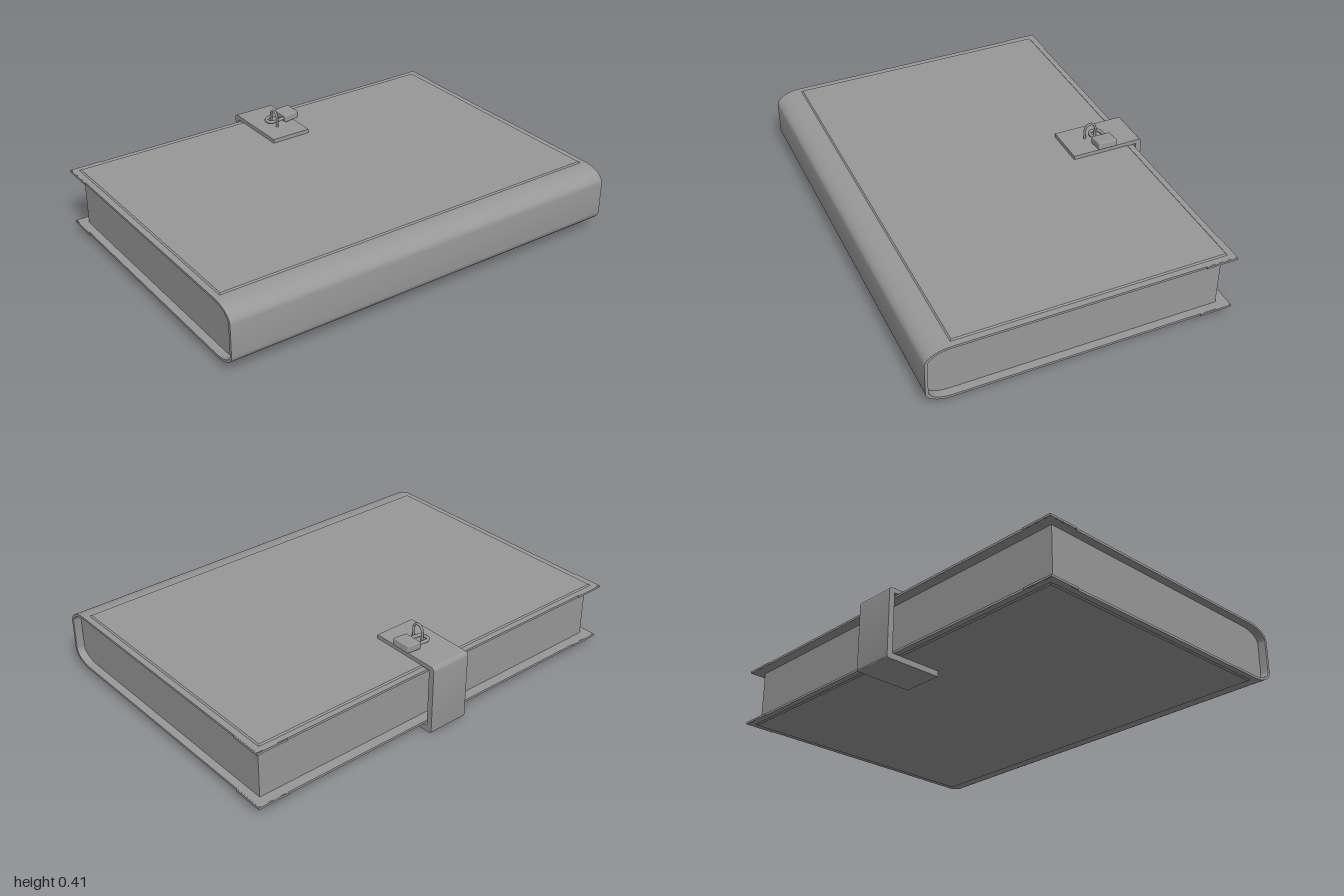
import * as THREE from 'three';
import { RoundedBoxGeometry } from 'three/addons/geometries/RoundedBoxGeometry.js';
import { toCreasedNormals } from 'three/addons/utils/BufferGeometryUtils.js';

const material = new THREE.MeshStandardMaterial({ color: 0x989898 });
const v = (x, y, z) => new THREE.Vector3(x, y, z);

function add(parent, name, geometry, x = 0, y = 0, z = 0) {
  const mesh = new THREE.Mesh(geometry, material);
  mesh.name = name;
  mesh.position.set(x, y, z);
  parent.add(mesh);
  return mesh;
}

// Extrude an xy outline along z, centred on z = 0
function slab(shape, depth) {
  const g = new THREE.ExtrudeGeometry(shape, { depth, bevelEnabled: false, curveSegments: 12 });
  g.translate(0, 0, -depth / 2);
  return toCreasedNormals(g, 0.6);
}

// Open outline with a rounded spine on the +x side, running from bottom to top
function spineOutline(left, right, bottom, top, rx, ry) {
  const pts = [new THREE.Vector2(left, bottom)];
  const n = 10;
  for (const [cy, start] of [[bottom + ry, -Math.PI / 2], [top - ry, 0]]) {
    for (let i = 0; i <= n; i++) {
      const a = start + (i / n) * Math.PI / 2;
      pts.push(new THREE.Vector2(right - rx + rx * Math.cos(a), cy + ry * Math.sin(a)));
    }
  }
  pts.push(new THREE.Vector2(left, top));
  return pts;
}

// Flat rectangle in xz with sloped edges, rising from y = 0 to y = height
function raisedPanel(width, length, height, slope) {
  const w = width / 2 - slope, l = length / 2 - slope;
  const shape = new THREE.Shape([
    new THREE.Vector2(-w, -l), new THREE.Vector2(w, -l),
    new THREE.Vector2(w, l), new THREE.Vector2(-w, l),
  ]);
  const g = new THREE.ExtrudeGeometry(shape, {
    depth: 0.001, bevelThickness: height, bevelSize: slope, bevelSegments: 1,
  });
  g.rotateX(-Math.PI / 2);
  return g;
}

// Round wire bent into a U: two legs from y = 0 and a bow reaching to y = height
function wireLoop(halfWidth, leg, height, radius) {
  const bow = leg + (height - leg) * 4 / 3;
  const path = new THREE.CurvePath();
  path.add(new THREE.LineCurve3(v(-halfWidth, 0, 0), v(-halfWidth, leg, 0)));
  path.add(new THREE.CubicBezierCurve3(
    v(-halfWidth, leg, 0), v(-halfWidth, bow, 0), v(halfWidth, bow, 0), v(halfWidth, leg, 0)));
  path.add(new THREE.LineCurve3(v(halfWidth, leg, 0), v(halfWidth, 0, 0)));
  return new THREE.TubeGeometry(path, 30, radius, 8);
}

export function createModel() {
  const book = new THREE.Group();
  book.name = 'book';

  // Cover: one wrapped sheet with a rounded spine
  const outer = spineOutline(-0.683, 0.723, 0.033, 0.309, 0.115, 0.064);
  const inner = spineOutline(-0.683, 0.71, 0.044, 0.298, 0.105, 0.054);
  add(book, 'cover', slab(new THREE.Shape([...outer, ...inner.reverse()]), 1.986));

  // Page block
  const pages = spineOutline(-0.635, 0.71, 0.044, 0.298, 0.105, 0.054);
  add(book, 'pages', slab(new THREE.Shape(pages), 1.91));

  // Raised panels and corner guards on both boards
  for (const side of [1, -1]) {
    const panel = add(book, 'coverPanel', raisedPanel(1.258, 1.93, 0.006, 0.006), -0.027, 0.171 + side * 0.137, 0);
    if (side < 0) panel.rotation.x = Math.PI;
    const y = 0.171 + side * 0.1325;
    for (const end of [1, -1]) {
      add(book, 'cornerGuardEnd', new THREE.BoxGeometry(0.15, 0.01, 0.01), -0.612, y, end * 0.993);
      add(book, 'cornerGuardEdge', new THREE.BoxGeometry(0.01, 0.01, 0.15), -0.682, y, end * 0.923);
    }
  }

  // Clasp strap folded around the fore edge
  const strap = new THREE.Shape();
  strap.moveTo(-0.442, 0);
  strap.lineTo(-0.442, 0.028);
  strap.lineTo(-0.697, 0.028);
  strap.lineTo(-0.697, 0.313);
  strap.lineTo(-0.373, 0.313);
  strap.lineTo(-0.373, 0.334);
  strap.lineTo(-0.705, 0.334);
  strap.quadraticCurveTo(-0.725, 0.334, -0.725, 0.314);
  strap.lineTo(-0.725, 0.015);
  strap.quadraticCurveTo(-0.725, 0, -0.71, 0);
  add(book, 'claspStrap', slab(strap, 0.2), 0, 0, -0.008);

  // Staple standing on the strap
  add(book, 'staple', wireLoop(0.027, 0.045, 0.077, 0.006), -0.509, 0.33, 0.002);

  // Padlock hanging through the staple, slightly tilted
  const padlock = new THREE.Group();
  padlock.name = 'padlock';
  padlock.position.set(-0.537, 0.36, -0.088);
  padlock.rotation.x = 0.1;
  book.add(padlock);
  add(padlock, 'lockBody', new RoundedBoxGeometry(0.094, 0.036, 0.078, 3, 0.006));
  const shackle = add(padlock, 'shackle', wireLoop(0.028, 0.055, 0.083, 0.008), 0, 0, 0.03);
  shackle.rotation.x = Math.PI / 2;

  return book;
}
